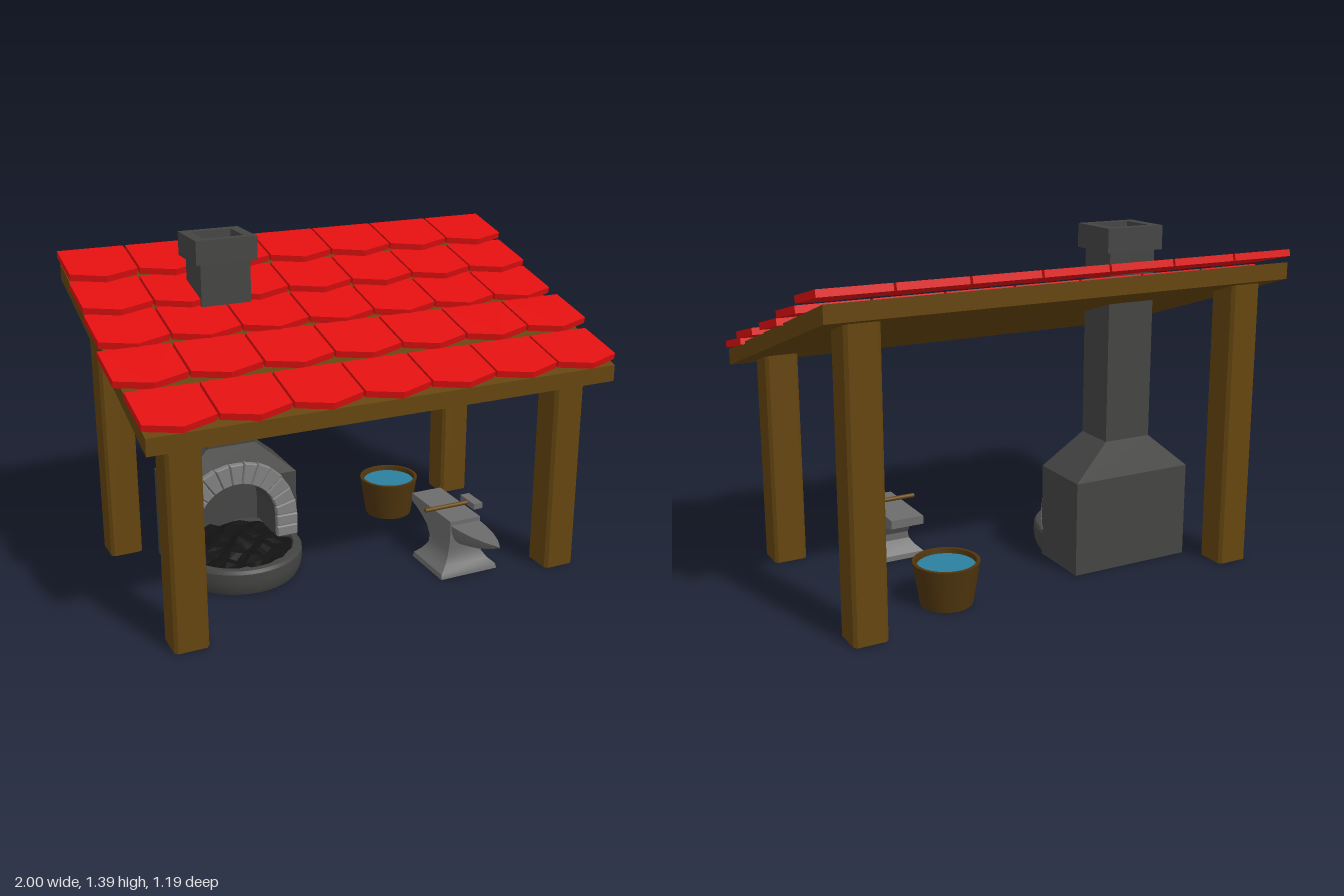
import * as THREE from 'three';
import { toCreasedNormals } from 'three/addons/utils/BufferGeometryUtils.js';

const mat = (color, side = THREE.FrontSide) => new THREE.MeshStandardMaterial({ color, side });
const wood = mat(0x65450f), bucketWood = mat(0x4f350d), red = mat(0xe01010);
const soot = mat(0x444543), stone = mat(0x808080), iron = mat(0x6c6c6c);
const coal = mat(0x121212, THREE.DoubleSide), waterBlue = mat(0x2a7f9f);

function add(parent, name, geometry, material, x = 0, y = 0, z = 0) {
  const mesh = new THREE.Mesh(geometry, material);
  mesh.name = name;
  mesh.position.set(x, y, z);
  parent.add(mesh);
  return mesh;
}

function group(parent, name, x = 0, y = 0, z = 0) {
  const g = new THREE.Group();
  g.name = name;
  g.position.set(x, y, z);
  parent.add(g);
  return g;
}

// Skin equal-sized rings; each ring runs counter-clockwise seen from the end of the loft
function loft(rings, crease = 0.5) {
  const n = rings[0].length, index = [], last = (rings.length - 1) * n;
  for (let r = 0; r < rings.length - 1; r++) {
    for (let i = 0; i < n; i++) {
      const a = r * n + i, b = r * n + (i + 1) % n;
      index.push(a, b, b + n, a, b + n, a + n);
    }
  }
  for (let i = 1; i < n - 1; i++) index.push(0, i + 1, i, last, last + i, last + i + 1);
  const g = new THREE.BufferGeometry();
  g.setAttribute('position', new THREE.Float32BufferAttribute(rings.flat(2), 3));
  g.setIndex(index);
  return toCreasedNormals(g, crease);
}

// Horizontal rectangle at height y
const rect = (y, x0, x1, z0, z1) => [[x0, y, z0], [x0, y, z1], [x1, y, z1], [x1, y, z0]];

const shapeOf = (pts) => new THREE.Shape(pts.map(([x, y]) => new THREE.Vector2(x, y)));
const lathe = (pts, segments) =>
  toCreasedNormals(new THREE.LatheGeometry(pts.map(([x, y]) => new THREE.Vector2(x, y)), segments), 0.6);

function buildShelter(root) {
  const slope = 0.325;
  const shelter = group(root, 'shelter');
  // Posts with slightly chamfered corners
  const h = 0.0675, c = 0.055;
  const ring = (y) => [[-h, -c], [-h, c], [-c, h], [c, h], [h, c], [h, -c], [c, -h], [-c, -h]].map(([x, z]) => [x, y, z]);
  for (const x of [-0.8175, 0.7975]) {
    add(shelter, 'frontPost', loft([ring(0), ring(0.88)]), wood, x, 0, 0.4075);
    add(shelter, 'backPost', loft([ring(0), ring(1.17)]), wood, x, 0, -0.47);
  }
  // Sloping slab with upright ends
  const slab = new THREE.BoxGeometry(1.925, 0.066, 1.13);
  const p = slab.attributes.position;
  for (let i = 0; i < p.count; i++) p.setY(i, p.getY(i) - p.getZ(i) * slope);
  slab.computeVertexNormals();
  add(shelter, 'roofSlab', slab, wood, -0.0075, 1.032, -0.025);

  // Overlapping rows of pointed tiles: [tip z, tip top y, first x, last x]
  const rows = [
    [0.557, 0.911, -0.973, 0.973], [0.314, 0.996, -1, 0.997], [0.074, 1.072, -0.984, 0.979],
    [-0.133, 1.151, -0.984, 0.979], [-0.336, 1.236, -0.98, 0.977],
  ];
  const thick = 0.027, tilt = 0.247, gap = 0.01, len = 0.257;
  rows.forEach(([z, y, x0, x1], r) => {
    const row = group(shelter, 'tileRow' + (r + 1));
    const w = (x1 - x0 - 6 * gap) / 7;
    const geo = new THREE.ExtrudeGeometry(
      shapeOf([[0, 0], [w / 2, 0.044], [w / 2, len], [-w / 2, len], [-w / 2, 0.044]]),
      { depth: thick, bevelEnabled: false });
    geo.rotateX(tilt - Math.PI / 2);
    for (let i = 0; i < 7; i++) {
      add(row, 'roofTile', geo, red, x0 + w / 2 + i * (w + gap), y - thick * Math.cos(tilt), z - thick * Math.sin(tilt));
    }
  });
}

function buildForge(root) {
  const forge = group(root, 'forge', -0.427, 0, 0);
  const W = 0.265, archY = 0.205, inner = 0.173;
  // Firebox walls with an arched opening
  const walls = shapeOf([[-W, 0], [W, 0], [W, 0.39], [-W, 0.39]]);
  const hole = new THREE.Path();
  hole.moveTo(-inner, 0.05).lineTo(inner, 0.05).lineTo(inner, archY);
  hole.absarc(0, archY, inner, 0, Math.PI, false);
  hole.closePath();
  walls.holes.push(hole);
  const wallGeo = new THREE.ExtrudeGeometry(walls, { depth: 0.225, bevelEnabled: false, curveSegments: 16 });
  add(forge, 'firebox', toCreasedNormals(wallGeo, 0.5), soot, 0, 0, -0.31);
  add(forge, 'fireboxBack', new THREE.BoxGeometry(2 * W, 0.39, 0.048), soot, 0, 0.195, -0.334);
  // Tapered hood running into the stack
  add(forge, 'hoodAndStack', loft([
    rect(0.39, -W, W, -0.358, -0.085), rect(0.53, -0.103, 0.103, -0.31, -0.133),
    rect(1.31, -0.103, 0.103, -0.31, -0.133)], 0.2), soot);
  // Hollow chimney cap
  const cap = shapeOf([[-0.126, -0.109], [0.126, -0.109], [0.126, 0.109], [-0.126, 0.109]]);
  cap.holes.push(shapeOf([[-0.083, -0.073], [-0.083, 0.073], [0.083, 0.073], [0.083, -0.073]]));
  const capGeo = new THREE.ExtrudeGeometry(cap, { depth: 0.095, bevelEnabled: false });
  capGeo.rotateX(-Math.PI / 2);
  add(forge, 'chimneyCap', capGeo, soot, 0, 1.295, -0.22);

  // Round hearth with a raised rim
  add(forge, 'hearth', lathe([[0, 0], [0.25, 0], [0.262, 0.025], [0.267, 0.06], [0.267, 0.095],
    [0.258, 0.108], [0.232, 0.108], [0.222, 0.085], [0, 0.085]], 40), soot, 0, 0, -0.09);
  const coals = new THREE.RingGeometry(0.001, 0.226, 32, 6);
  coals.rotateX(-Math.PI / 2);
  const p = coals.attributes.position;
  for (let i = 0; i < p.count; i++) {
    const x = p.getX(i), z = p.getZ(i);
    const fade = 1 - Math.hypot(x, z) / 0.24;
    p.setY(i, 0.012 * Math.sin(x * 47 + 1) * Math.cos(z * 41) + 0.03 * fade);
  }
  add(forge, 'coals', coals.toNonIndexed(), coal, 0, 0.1, -0.09).geometry.computeVertexNormals();

  // Stones around the opening: an arch on two short jambs
  const arch = group(forge, 'stoneArch', 0, 0, -0.098);
  const addStone = (pts) => add(arch, 'archStone', new THREE.ExtrudeGeometry(shapeOf(pts),
    { depth: 0.022, bevelThickness: 0.005, bevelSize: 0.004, bevelOffset: -0.004, bevelSegments: 1 }), stone);
  const count = 13, step = Math.PI / count;
  for (let i = 0; i < count; i++) {
    const outer = 0.264 + 0.003 * Math.sin(i * 5);
    const at = (r, a) => [r * Math.cos(a), archY + r * Math.sin(a)];
    const a = i * step + 0.008, b = (i + 1) * step - 0.008;
    addStone([at(inner, a), at(outer, a), at(outer, b), at(inner, b)]);
  }
  for (const y of [0.108, 0.157]) {
    for (const x of [-0.265, inner]) addStone([[x, y], [x + 0.092, y], [x + 0.092, y + 0.046], [x, y + 0.046]]);
  }
}

function buildAnvil(root) {
  const anvil = group(root, 'anvil', 0.415, 0, 0);
  // Foot, waist and face, as [y, half width, back z, front z]
  const body = [[0, 0.132, 0.133, 0.38], [0.02, 0.128, 0.137, 0.375], [0.045, 0.1, 0.158, 0.352],
    [0.075, 0.08, 0.175, 0.337], [0.105, 0.073, 0.172, 0.332], [0.14, 0.07, 0.14, 0.335],
    [0.165, 0.07, 0.095, 0.336], [0.182, 0.07, 0.05, 0.336], [0.195, 0.07, 0.004, 0.336], [0.23, 0.07, 0.004, 0.336]];
  add(anvil, 'anvilBody', loft(body.map(([y, w, z0, z1]) => rect(y, -w, w, z0, z1))), iron);
  // Horn: flat on top, round below, as [z, half width, bottom y, top y]
  const horn = [[0.33, 0.068, 0.115, 0.212], [0.4, 0.062, 0.135, 0.214], [0.47, 0.05, 0.156, 0.216],
    [0.54, 0.029, 0.185, 0.218], [0.595, 0.003, 0.213, 0.219]];
  add(anvil, 'anvilHorn', loft(horn.map(([z, w, y0, y1]) => Array.from({ length: 9 }, (_, i) => {
    const a = Math.PI + i * Math.PI / 8;
    return [w * Math.cos(a), y1 + (y1 - y0) * Math.sin(a), z];
  }))), iron);
  // Hammer lying across the face
  const hammer = group(anvil, 'hammer', 0, 0.243, 0.215);
  add(hammer, 'hammerHead', new THREE.BoxGeometry(0.042, 0.025, 0.11), iron, 0.1, 0, 0);
  const handle = new THREE.CylinderGeometry(0.009, 0.009, 0.235, 10);
  handle.rotateZ(Math.PI / 2);
  add(hammer, 'hammerHandle', handle, wood, -0.005, 0, 0);
}

function buildBucket(root) {
  const bucket = group(root, 'waterBucket', 0.405, 0, -0.332);
  add(bucket, 'bucketShell', lathe([[0, 0], [0.103, 0], [0.131, 0.172], [0.117, 0.172], [0.112, 0.14], [0, 0.14]], 32), bucketWood);
  const water = new THREE.CircleGeometry(0.1145, 32);
  water.rotateX(-Math.PI / 2);
  add(bucket, 'water', water, waterBlue, 0, 0.153, 0);
}

export function createModel() {
  const root = new THREE.Group();
  root.name = 'smithy';
  buildShelter(root);
  buildForge(root);
  buildAnvil(root);
  buildBucket(root);
  return root;
}
